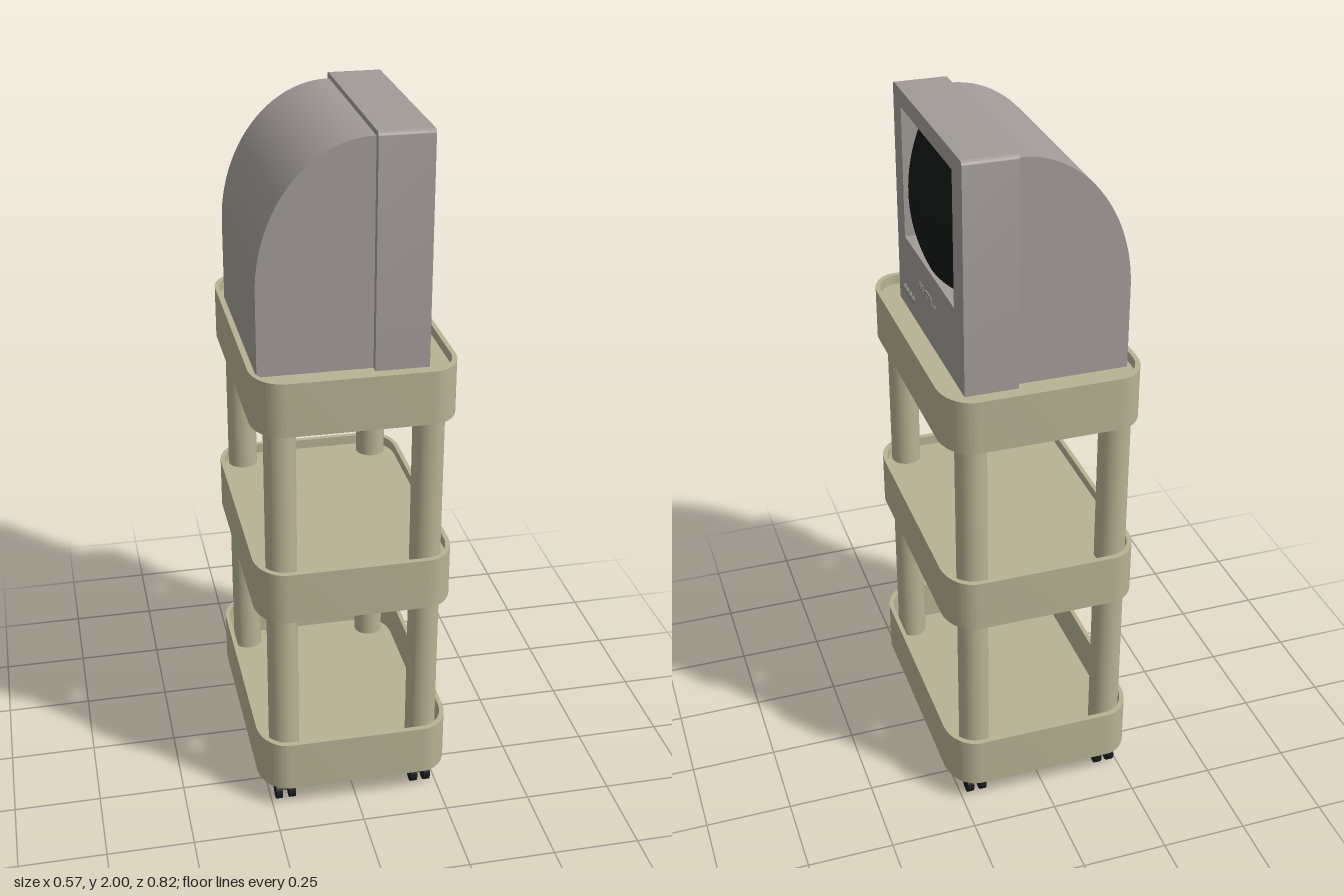
import * as THREE from 'three';
import { toCreasedNormals } from 'three/addons/utils/BufferGeometryUtils.js';

const material = (name, color, side = THREE.FrontSide) =>
  Object.assign(new THREE.MeshStandardMaterial({ color, side }), { name });

// Rectangle with elliptical corners, centred on the origin
function roundedRect(hx, hy, rx, ry, Type = THREE.Shape) {
  const s = new Type();
  s.moveTo(hx, -hy + ry);
  s.absellipse(hx - rx, hy - ry, rx, ry, 0, Math.PI / 2);
  s.absellipse(-hx + rx, hy - ry, rx, ry, Math.PI / 2, Math.PI);
  s.absellipse(-hx + rx, -hy + ry, rx, ry, Math.PI, Math.PI * 1.5);
  s.absellipse(hx - rx, -hy + ry, rx, ry, Math.PI * 1.5, Math.PI * 2);
  return s;
}

function extrude(shape, depth) {
  const g = new THREE.ExtrudeGeometry(shape, { depth, bevelEnabled: false, curveSegments: 12 });
  return toCreasedNormals(g, 0.5);
}

export function createModel() {
  const model = new THREE.Group();
  const cream = material('cream plastic', 0xb7b193);
  const grey = material('grey casing', 0xa29b98);
  const black = material('black glass', 0x151717, THREE.DoubleSide);
  const rubber = material('black rubber', 0x1b1c1e);
  const metal = material('grey metal', 0x8b8987);

  const add = (name, geometry, mat, x = 0, y = 0, z = 0, parent = model) => {
    const mesh = new THREE.Mesh(geometry, mat);
    mesh.name = name;
    mesh.position.set(x, y, z);
    parent.add(mesh);
    return mesh;
  };

  // Trays: a rim wall around a floor plate
  const rimShape = roundedRect(0.283, 0.41, 0.085, 0.11);
  rimShape.holes.push(roundedRect(0.27, 0.394, 0.074, 0.096, THREE.Path));
  const rim = extrude(rimShape, 0.154).rotateX(-Math.PI / 2);
  const floor = extrude(roundedRect(0.273, 0.398, 0.076, 0.1), 0.015).rotateX(-Math.PI / 2);
  [['bottomTray', 0.075, 0.012], ['middleTray', 0.65, 0.11], ['topTray', 1.225, 0.11]].forEach(([name, y, floorY]) => {
    const tray = new THREE.Group();
    tray.name = name;
    tray.position.y = y;
    add('trayRim', rim, cream, 0, 0, 0, tray);
    add('trayFloor', floor, cream, 0, floorY, 0, tray);
    model.add(tray);
  });

  // Corner posts and twin-wheel casters
  const post = new THREE.CylinderGeometry(0.044, 0.044, 1.25, 32);
  const wheel = new THREE.CylinderGeometry(0.031, 0.031, 0.019, 24).rotateZ(Math.PI / 2);
  const axle = new THREE.CylinderGeometry(0.008, 0.008, 0.03, 12).rotateZ(Math.PI / 2);
  const stem = new THREE.CylinderGeometry(0.011, 0.011, 0.05, 16);
  const fork = new THREE.BoxGeometry(0.05, 0.012, 0.034);
  for (const x of [-0.208, 0.202]) for (const z of [-0.345, 0.345]) {
    add('post', post, cream, x, 0.72, z);
    const caster = new THREE.Group();
    caster.name = 'caster';
    caster.position.set(x, 0.031, z);
    for (const s of [-1, 1]) add('casterWheel', wheel, rubber, s * 0.0195, 0, 0, caster);
    add('casterAxle', axle, rubber, 0, 0, 0, caster);
    add('casterStem', stem, metal, 0, 0.038, 0, caster);
    add('casterFork', fork, rubber, 0, 0.03, 0, caster);
    model.add(caster);
  }

  // Television, with its screen toward +x
  const tv = new THREE.Group();
  tv.name = 'television';
  model.add(tv);
  const base = 1.35;

  // Rear casing with a curved back
  const back = new THREE.Shape();
  back.moveTo(0.07, base);
  back.lineTo(0.07, 1.985);
  back.lineTo(0.055, 1.985);
  back.absellipse(0.055, 1.585, 0.312, 0.4, Math.PI / 2, Math.PI);
  back.lineTo(-0.257, base);
  back.closePath();
  add('rearCasing', extrude(back, 0.59), grey, 0, 0, -0.3, tv);

  // Front casing with a screen opening; shape x runs along -z
  const front = new THREE.Shape();
  front.moveTo(-0.313, base);
  front.lineTo(0.323, base);
  front.lineTo(0.323, 1.985);
  front.quadraticCurveTo(0.323, 2, 0.308, 2);
  front.lineTo(-0.298, 2);
  front.quadraticCurveTo(-0.313, 2, -0.313, 1.985);
  front.closePath();
  const opening = new THREE.Path();
  opening.moveTo(-0.238, 1.57);
  opening.lineTo(-0.238, 1.95);
  opening.lineTo(0.238, 1.95);
  opening.lineTo(0.238, 1.57);
  opening.closePath();
  front.holes.push(opening);
  add('frontCasing', extrude(front, 0.15).rotateY(Math.PI / 2), grey, 0.06, 0, 0, tv);

  // Bulging screen glass
  const glass = new THREE.PlaneGeometry(0.476, 0.38, 32, 26).rotateY(Math.PI / 2);
  const p = glass.attributes.position;
  for (let i = 0; i < p.count; i++) {
    const r2 = p.getY(i) ** 2 + p.getZ(i) ** 2;
    p.setX(i, Math.max(0.15, 0.245 - 1.25 * r2));
  }
  glass.computeVertexNormals();
  add('screen', glass, black, 0, 1.76, 0, tv);

  // Round knobs and small control buttons
  const knob = new THREE.SphereGeometry(0.011, 16, 12);
  for (let i = 0; i < 4; i++) add('knob', knob, metal, 0.209, 1.41, 0.246 - i * 0.0285, tv);
  const button = (z, y, w, h) => add('button', new THREE.BoxGeometry(0.009, h, w), metal, 0.21, y, z, tv);
  button(0.081, 1.49, 0.008, 0.018);
  button(0.06, 1.49, 0.008, 0.018);
  button(0.024, 1.488, 0.014, 0.02);
  button(0, 1.497, 0.034, 0.008);
  button(-0.024, 1.488, 0.014, 0.02);
  button(-0.06, 1.487, 0.012, 0.006);

  return model;
}
